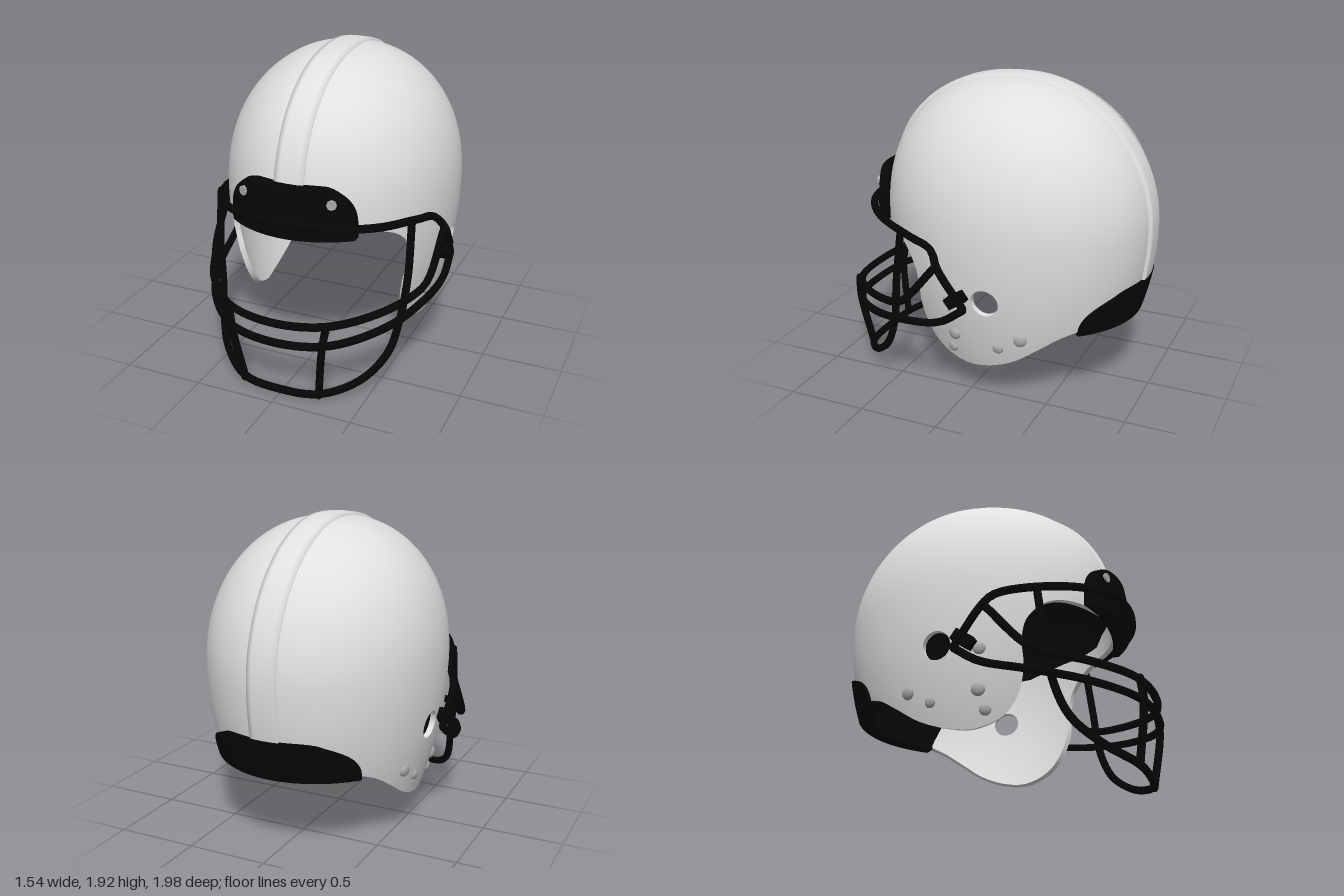
import * as THREE from 'three';

const V = (x, y, z) => new THREE.Vector3(x, y, z);
const CY = 1.05, CZ = -0.13; // widest level of the dome

// Horizontal section of the shell at height y: half width, depth to the back, depth to the front
function section(y) {
  if (y > CY) {
    const v = Math.min((y - CY) / 0.86, 0.99999);
    const k = (e) => (1 - v ** e) ** (1 / e);
    return { w: 0.725 * k(2.15), back: 0.85 * k(2), front: 0.865 * k(2.3) };
  }
  const k = 1 - 0.1 * ((CY - y) / 0.55) ** 2;
  return { w: 0.725 * (1 - 0.2 * ((CY - y) / 0.83) ** 2), back: 0.85 * k, front: 0.865 * k };
}
function shellX(z, y) {
  const s = section(y), d = z > CZ ? s.front : s.back;
  return s.w * Math.sqrt(Math.max(0, 1 - ((z - CZ) / d) ** 2));
}
function shellZ(x, y) {
  const s = section(y);
  return CZ + s.front * Math.sqrt(Math.max(0, 1 - (x / s.w) ** 2));
}
function shellNormal(p) {
  const dy = p.y - CY;
  return V(p.x / 0.533, dy > 0 ? dy / 0.74 : dy * 0.3, (p.z - CZ) / 0.7225).normalize();
}

// Grid surface over fn(i, j)
function grid(fn, nu, nv, flip) {
  const pos = [], index = [];
  for (let i = 0; i <= nu; i++) for (let j = 0; j <= nv; j++) pos.push(...fn(i, j).toArray());
  for (let i = 0; i < nu; i++) for (let j = 0; j < nv; j++) {
    const a = i * (nv + 1) + j, b = a + nv + 1;
    index.push(...(flip ? [a, a + 1, b, a + 1, b + 1, b] : [a, b, a + 1, a + 1, b, b + 1]));
  }
  const g = new THREE.BufferGeometry();
  g.setAttribute('position', new THREE.Float32BufferAttribute(pos, 3));
  g.setIndex(index);
  g.computeVertexNormals();
  return g;
}

// Midline of the dome from the nape over the crown to the brow
function midline() {
  const pts = [];
  for (let i = 0; i < 14; i++) {
    const y = 0.505 + (CY - 0.505) * i / 14;
    pts.push(V(0, y, CZ - section(y).back));
  }
  for (let i = 0; i <= 56; i++) {
    const y = CY + 0.86 * Math.sin(Math.PI * i / 56), s = section(y);
    pts.push(V(0, y, i === 28 ? CZ : i < 28 ? CZ - s.back : CZ + s.front));
  }
  return pts;
}

export function createModel() {
  const model = new THREE.Group();
  const mat = (name, color) => Object.assign(new THREE.MeshStandardMaterial({ color }), { name });
  const white = mat('shell white', 0xe0e0e0);
  const black = mat('matte black', 0x060606);
  const steel = mat('bolt grey', 0xaaaaaa);
  const add = (name, geo, m, parent = model) => {
    const mesh = new THREE.Mesh(geo, m);
    mesh.name = name;
    parent.add(mesh);
    return mesh;
  };

  // Side outline: brow, face opening, jaw flap, nape, then back along the midline
  const browZ = CZ + section(1).front;
  const cut = new THREE.CatmullRomCurve3([
    [browZ, 1.0], [0.67, 1.0], [0.51, 0.99], [0.41, 0.94], [0.33, 0.84], [0.3, 0.72], [0.3, 0.56],
    [0.257, 0.4], [0.166, 0.283], [0.005, 0.22], [-0.155, 0.235], [-0.316, 0.294], [-0.477, 0.4],
    [-0.595, 0.476], [-0.69, 0.51], [-0.897, 0.505],
  ].map(([z, y]) => V(0, y, z)));
  const mid = midline();
  const loop = [...cut.getSpacedPoints(80).slice(0, -1), ...mid, V(0, 1.0, browZ)];
  const RINGS = 30, N = loop.length - 1, EAR = { z: -0.18, y: 0.7, r: 0.085 };

  // Shell point: rings spread from the ear hole to the outline
  const outer = (i, j, s) => {
    const e = loop[j], a = Math.atan2(e.y - 0.95, e.z + 0.12);
    const t = Math.sin(i / RINGS * Math.PI / 2);
    const start = V(0, EAR.y + EAR.r * Math.sin(a), EAR.z + EAR.r * Math.cos(a));
    const ctrl = start.clone().lerp(e, 0.5);
    ctrl.y += 0.25 * THREE.MathUtils.smoothstep(e.z, 0.2, 0.75);
    const p = new THREE.QuadraticBezierCurve3(start, ctrl, e).getPoint(t);
    p.x = i === RINGS && (j === 0 || j >= 80) ? 0 : s * shellX(p.z, p.y);
    return p;
  };
  const inner = (i, j, s) => {
    const p = outer(i, j, s);
    return p.addScaledVector(shellNormal(p), -0.035);
  };

  for (const [s, side] of [[1, 'left'], [-1, 'right']]) {
    const half = new THREE.Group();
    half.name = side + 'Shell';
    model.add(half);
    const f = s < 0;
    add('outerShell', grid((i, j) => outer(i, j, s), RINGS, N, f), white, half);
    add('innerShell', grid((i, j) => inner(i, j, s), RINGS, N, !f), white, half);
    add('shellRim', grid((i, j) => (i ? inner : outer)(RINGS, j, s), 1, N, f), white, half);
    add('earHoleRim', grid((i, j) => (i ? inner : outer)(0, j, s), 1, N, !f), white, half);

    // Jaw bolts and the cage bolt
    for (const [z, y, r] of [[0.05, 0.43, 0.04], [0.08, 0.32, 0.035], [-0.235, 0.385, 0.033], [-0.375, 0.46, 0.04], [0.07, 0.66, 0.037]]) {
      const p = V(s * shellX(z, y), y, z);
      const bolt = add('jawBolt', new THREE.SphereGeometry(r, 14, 10).scale(1, 1, 0.5), steel);
      bolt.position.copy(p);
      bolt.lookAt(p.clone().add(shellNormal(p)));
    }
    // Cage clip
    const clip = add('cageClip', new THREE.BoxGeometry(0.06, 0.07, 0.13), black);
    clip.position.set(s * 0.715, 0.705, -0.01);
    clip.rotation.x = 0.6;
    // Brow bolt
    const bolt = add('browBolt', new THREE.CylinderGeometry(0.03, 0.03, 0.02, 8).rotateX(Math.PI / 2), steel);
    bolt.position.set(s * 0.275, 1.21, shellZ(0.275, 1.21) + 0.08);
    bolt.rotation.y = s * 0.35;
  }

  // Black liner inside the dome, reaching lower at the back
  add('liner', grid((i, j) => {
    const y = 0.51 + 1.34 * Math.sin(i / 36 * Math.PI / 2);
    const reach = 0.78 + 0.75 * (Math.min(y, 0.95) - 0.51) + 2.04 * THREE.MathUtils.smoothstep(y, 0.95, 1.15);
    const a = (j / 24 - 1) * reach;
    const s = section(y > CY ? CY + (y - CY) / 0.94 : y);
    const d = Math.abs(a) > Math.PI / 2 ? s.front : s.back;
    return V(0.94 * s.w * Math.sin(a), y, CZ - 0.94 * d * Math.cos(a));
  }, 36, 48, true), Object.assign(black.clone(), { side: THREE.DoubleSide, name: 'liner black' }));

  // Raised centre ridge, swept along the midline
  const profile = [[-0.094, -0.03], [-0.09, 0.01], [-0.06, 0.015], [0, 0.017], [0.06, 0.015], [0.09, 0.01], [0.094, -0.03]];
  const path = mid.filter((p) => !(p.z > 0 && p.y < 1.22) && p.y > 0.65);
  add('centreRidge', grid((i, j) => {
    const p = path[i].clone().addScaledVector(shellNormal(path[i]), profile[j][1]);
    p.x = profile[j][0];
    return p;
  }, path.length - 1, 6, false), white);

  // Pads: boxes bent around the shell
  const bentPad = (name, rule) => {
    const g = new THREE.BoxGeometry(2, 1, 2, 28, 10, 1), a = g.attributes.position;
    for (let i = 0; i < a.count; i++) a.setXYZ(i, ...rule(a.getX(i), a.getY(i) + 0.5, a.getZ(i) > 0));
    g.computeVertexNormals();
    add(name, g, black);
  };
  bentPad('browPad', (u, v, out) => {
    const x = u * 0.39 * (1 - 0.28 * v ** 4), y = 0.985 + 0.305 * v - 0.02 * v * u ** 6;
    return [x, y, shellZ(x, y) + (out ? 0.08 : -0.04 + 0.065 * u * u)];
  });
  bentPad('napePad', (u, v, out) => {
    const a = u * 0.78 * (1 - 0.38 * v ** 3), y = 0.49 + 0.255 * v - 0.03 * v * u ** 6;
    const s = section(y), off = out ? 0.022 : -0.065;
    return [-(s.w + off) * Math.sin(a), y, CZ - (s.back + off) * Math.cos(a)];
  });

  // Face cage
  const cage = new THREE.Group();
  cage.name = 'faceCage';
  model.add(cage);
  const bar = (name, pts) => {
    const c = new THREE.CatmullRomCurve3(pts.map((p) => V(...p)), false, 'centripetal');
    add(name, new THREE.TubeGeometry(c, pts.length * 5, 0.024, 8), black, cage);
    for (const p of [pts[0], pts[pts.length - 1]]) {
      add(name + 'End', new THREE.SphereGeometry(0.024, 8, 6), black, cage).position.set(...p);
    }
  };
  const flip = (pts) => pts.map(([x, y, z]) => [-x, y, z]);
  const across = (name, pts) => bar(name, [...flip(pts.slice(1)).reverse(), ...pts]);
  across('upperBar', [[0, 1.09, 0.83], [0.3, 1.08, 0.77], [0.5, 1.055, 0.6], [0.64, 1.02, 0.33], [0.69, 0.98, 0.165], [0.74, 0.89, 0.1], [0.735, 0.66, -0.06]]);
  across('middleBar', [[0, 0.51, 0.95], [0.31, 0.525, 0.89], [0.55, 0.555, 0.67], [0.68, 0.59, 0.43], [0.72, 0.64, 0.34], [0.74, 0.89, 0.12]]);
  across('lowerBar', [[0, 0.385, 0.955], [0.31, 0.4, 0.895], [0.56, 0.44, 0.65], [0.69, 0.49, 0.35], [0.74, 0.55, 0.09], [0.735, 0.65, -0.06]]);
  across('chinBar', [[0, 0.026, 0.89], [0.25, 0.038, 0.86], [0.45, 0.1, 0.71], [0.56, 0.23, 0.56], [0.6, 0.42, 0.48], [0.63, 0.7, 0.44], [0.63, 1.02, 0.4]]);
  const upright = [[0.31, 0.52, 0.91], [0.29, 0.38, 0.92], [0.245, 0.035, 0.87]];
  bar('leftUpright', upright);
  bar('rightUpright', flip(upright));

  return model;
}
